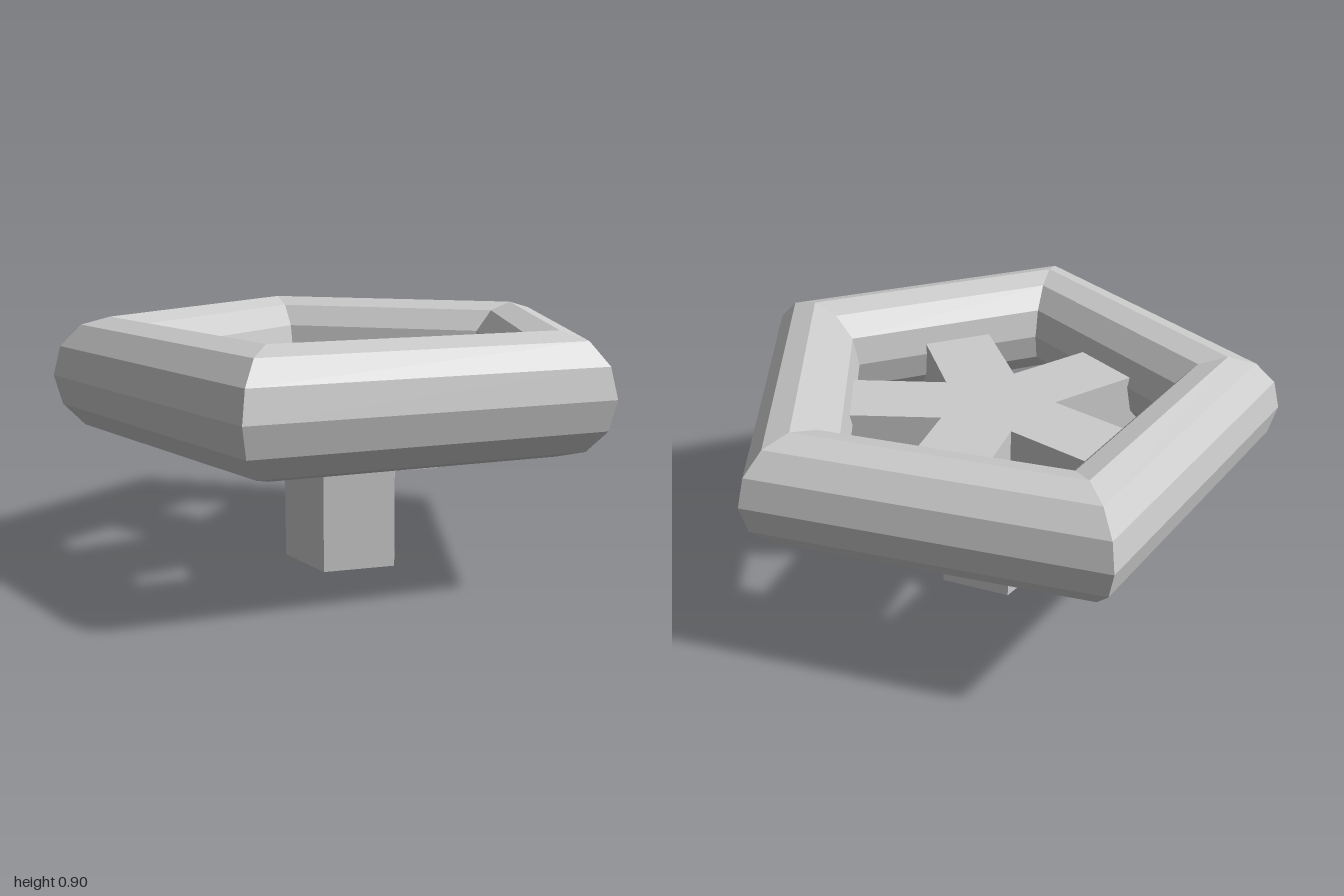
import * as THREE from 'three';

const CENTRE_X = -0.1;
const STEP = (Math.PI * 2) / 5;
const TWIST = THREE.MathUtils.degToRad(4.3); // hub is turned slightly against the rim

export function createModel() {
  const group = new THREE.Group();
  const material = new THREE.MeshStandardMaterial({ color: 0xcccccc, flatShading: true });

  const add = (name, geometry, y) => {
    const mesh = new THREE.Mesh(geometry, material);
    mesh.name = name;
    mesh.position.set(CENTRE_X, y, 0);
    group.add(mesh);
  };

  // Five-sided rim with a twelve-sided tube
  add('rim', new THREE.TorusGeometry(0.841, 0.21, 12, 5).rotateX(Math.PI / 2), 0.69);

  // Pentagon corners shared by the post and the roots of the spokes
  const corners = [];
  for (let i = 0; i < 5; i++) {
    const a = TWIST + i * STEP;
    corners.push(new THREE.Vector2(Math.cos(a), Math.sin(a)).multiplyScalar(0.225));
  }

  // Extrudes a plan outline downwards from y = 0
  const slab = (points, depth) =>
    new THREE.ExtrudeGeometry(new THREE.Shape(points), { depth, bevelEnabled: false }).rotateX(Math.PI / 2);

  // Spokes: every pentagon edge is pushed straight out into the rim
  const reach = [0.6, 0.626, 0.637, 0.558, 0.636];
  const apothem = 0.225 * Math.cos(STEP / 2);
  const star = [];
  corners.forEach((corner, i) => {
    const next = corners[(i + 1) % 5];
    const a = TWIST + (i + 0.5) * STEP;
    const out = new THREE.Vector2(Math.cos(a), Math.sin(a)).multiplyScalar(reach[i] - apothem);
    star.push(corner, corner.clone().add(out), next.clone().add(out));
  });
  add('spokes', slab(star, 0.265), 0.73);

  // Post standing on the ground
  add('post', slab(corners, 0.465), 0.465);

  return group;
}
